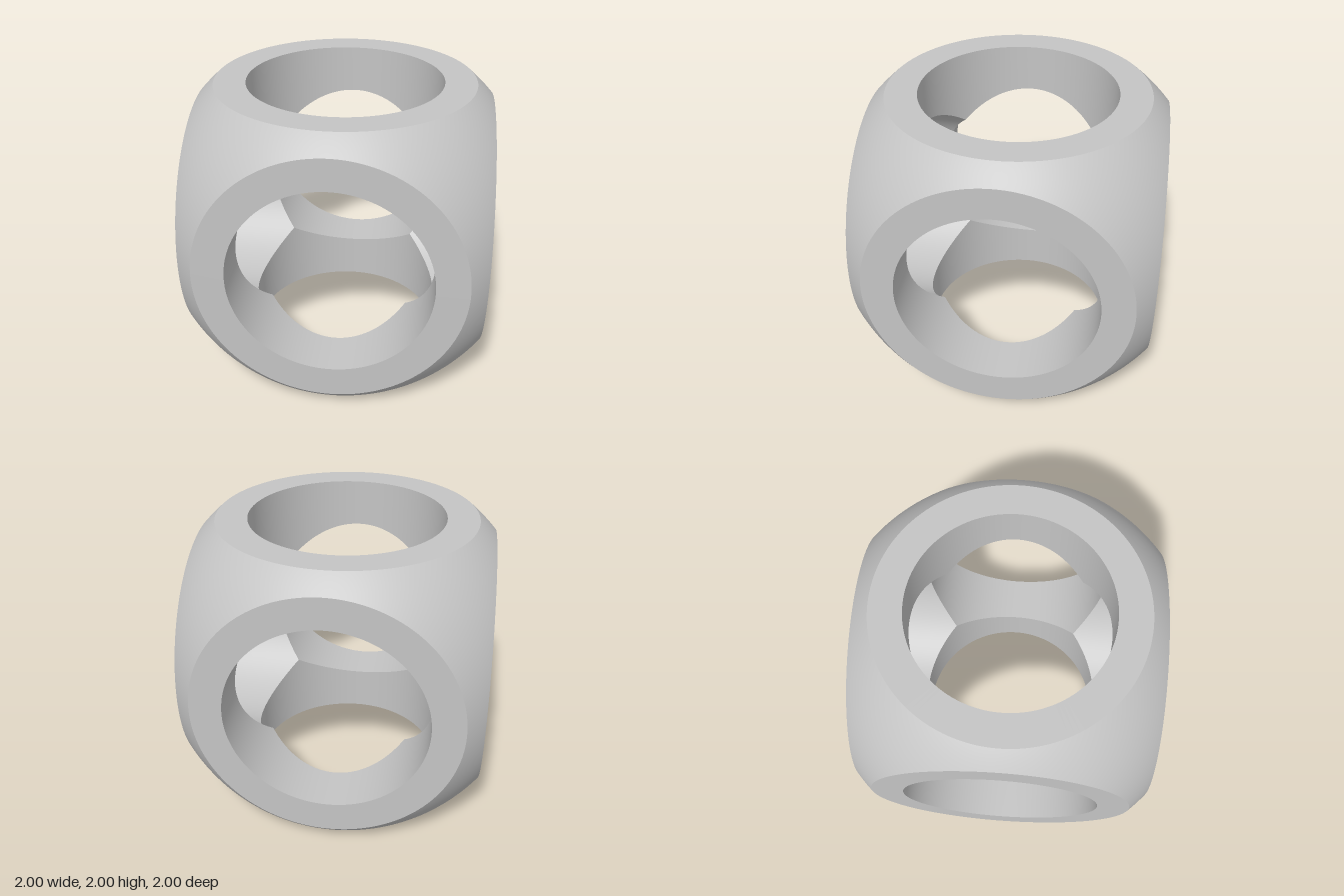
import * as THREE from 'three';

const FACE = 1;            // distance of each flat face from the centre
const RIM = 0.883;         // outer radius of the flat rings
const BORE = 0.667;        // radius of the three crossing bores
const BALL = Math.hypot(FACE, RIM);
const SEGMENTS = 160;      // multiple of 8, so the bore corners are exact

// Smooth strip around the z axis; point(angle, t, position, normal) fills both vectors.
function sweep(rows, point) {
  const positions = [], normals = [], index = [];
  const p = new THREE.Vector3(), n = new THREE.Vector3();
  for (let i = 0; i <= SEGMENTS; i++) {
    for (let j = 0; j <= rows; j++) {
      point((i / SEGMENTS) * Math.PI * 2, j / rows, p, n);
      positions.push(p.x, p.y, p.z);
      normals.push(n.x, n.y, n.z);
      if (i < SEGMENTS && j < rows) {
        const a = i * (rows + 1) + j, b = a + rows + 1;
        index.push(a, a + 1, b + 1, a, b + 1, b);
      }
    }
  }
  const geometry = new THREE.BufferGeometry();
  geometry.setAttribute('position', new THREE.Float32BufferAttribute(positions, 3));
  geometry.setAttribute('normal', new THREE.Float32BufferAttribute(normals, 3));
  geometry.setIndex(index);
  return geometry;
}

const widest = (a) => Math.max(Math.abs(Math.cos(a)), Math.abs(Math.sin(a)));

export function createModel() {
  const grey = new THREE.MeshStandardMaterial({ color: 0xc4c4c4 });
  grey.name = 'grey';

  // Ball surface from the ring's edge to the border with the neighbouring sides
  const shell = sweep(10, (a, t, p, n) => {
    const start = Math.acos(FACE / BALL);
    const end = Math.atan(1 / widest(a));
    const polar = start + (end - start) * t;
    n.set(Math.sin(polar) * Math.cos(a), Math.sin(polar) * Math.sin(a), Math.cos(polar));
    p.copy(n).multiplyScalar(BALL);
  });

  // Bore wall from its crossing with the other two bores out to the face
  const bore = sweep(4, (a, t, p, n) => {
    const inner = BORE * widest(a);
    p.set(BORE * Math.cos(a), BORE * Math.sin(a), inner + (FACE - inner) * t);
    n.set(-Math.cos(a), -Math.sin(a), 0);
  });

  // Flat ring around the bore mouth
  const ring = new THREE.RingGeometry(BORE, RIM, SEGMENTS, 1).translate(0, 0, FACE);

  const model = new THREE.Group();
  model.name = 'piercedBall';
  const q = Math.PI / 2;
  const sides = [
    ['front', 0, 0], ['back', 0, 2 * q], ['left', 0, q],
    ['right', 0, -q], ['top', -q, 0], ['bottom', q, 0],
  ];
  for (const [name, rx, ry] of sides) {
    const side = new THREE.Group();
    side.name = name + 'Side';
    for (const [part, geometry] of [['Shell', shell], ['Ring', ring], ['Bore', bore]]) {
      const mesh = new THREE.Mesh(geometry, grey);
      mesh.name = name + part;
      side.add(mesh);
    }
    side.rotation.set(rx, ry, 0);
    side.position.y = FACE;
    model.add(side);
  }
  return model;
}
